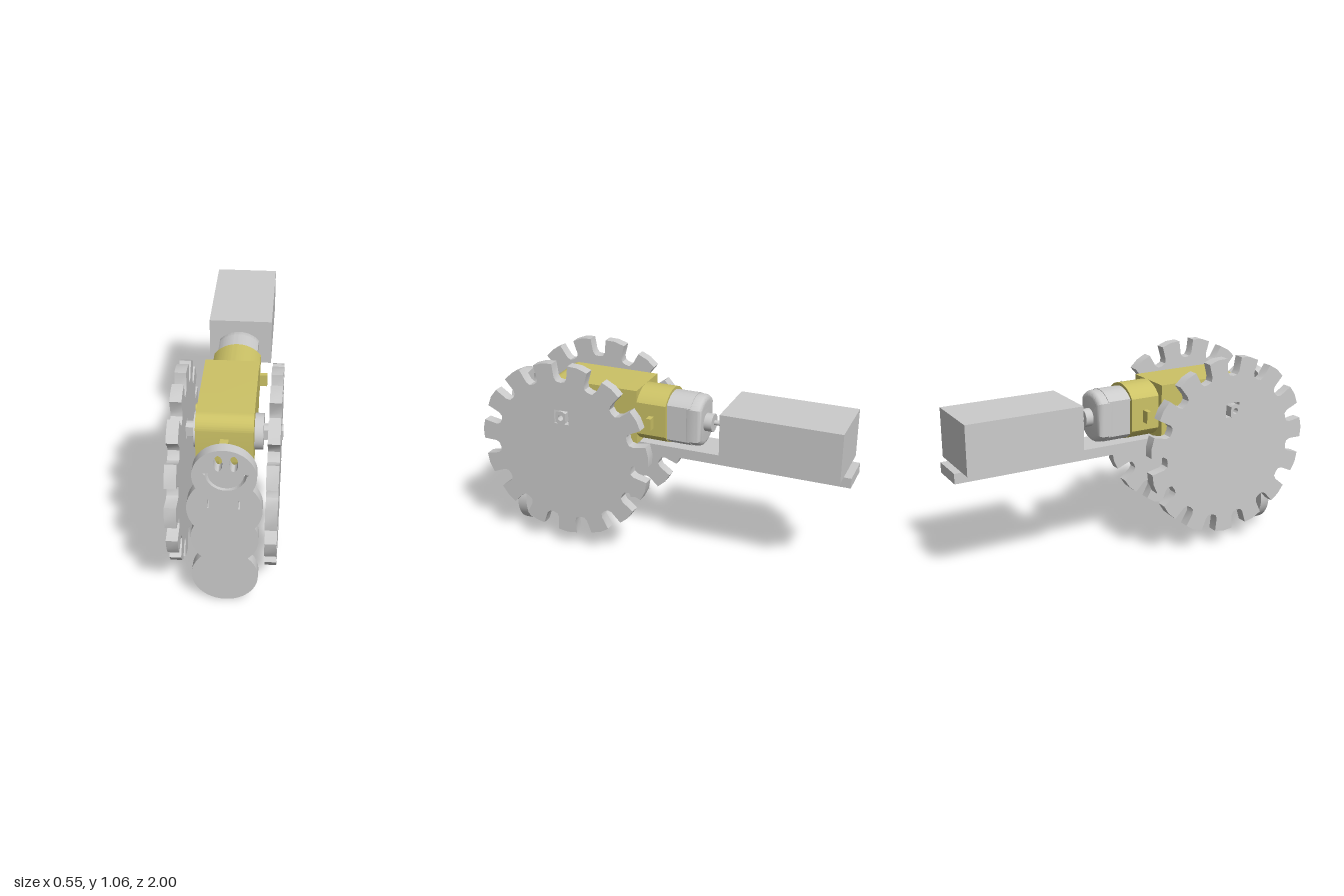
import * as THREE from 'three';
import { toCreasedNormals } from 'three/addons/utils/BufferGeometryUtils.js';

const grey = new THREE.MeshStandardMaterial({ color: 0xcccccc });
const yellow = new THREE.MeshStandardMaterial({ color: 0xccc266 });
const AXLE_Z = 0.512, AXLE_Y = 0.773, MID_X = 0.014;

export function createModel() {
  const model = new THREE.Group();

  const add = (name, geometry, material = grey) => {
    const mesh = new THREE.Mesh(geometry, material);
    mesh.name = name;
    model.add(mesh);
    return mesh;
  };

  // Box given by its limits on each axis
  const box = (name, [x0, x1], [y0, y1], [z0, z1], material) =>
    add(name, new THREE.BoxGeometry(x1 - x0, y1 - y0, z1 - z0), material)
      .position.set((x0 + x1) / 2, (y0 + y1) / 2, (z0 + z1) / 2);

  // Shape in the xy plane extruded from z0 to z1
  const extrudeZ = (name, shape, z0, z1, material, options = {}) => {
    const geo = new THREE.ExtrudeGeometry(shape, { depth: z1 - z0, bevelEnabled: false, curveSegments: 24, ...options });
    geo.translate(0, 0, z0);
    return add(name, toCreasedNormals(geo, 0.5), material);
  };

  // Shape drawn as (-z, y) extruded from x0 to x1
  const extrudeX = (name, shape, x0, x1, material) => {
    const geo = new THREE.ExtrudeGeometry(shape, { depth: x1 - x0, bevelEnabled: false, curveSegments: 16 });
    geo.rotateY(Math.PI / 2).translate(x0, 0, 0);
    return add(name, toCreasedNormals(geo, 0.5), material);
  };

  const cylinder = (name, axis, r, a, b, [u, v], material) => {
    const geo = new THREE.CylinderGeometry(r, r, b - a, 40);
    const mid = (a + b) / 2;
    if (axis === 'x') geo.rotateZ(Math.PI / 2).translate(mid, v, u);
    else geo.rotateX(Math.PI / 2).translate(u, v, mid);
    return add(name, geo, material);
  };

  // Circle with its two sides cut flat
  const flatSided = (r, half, cx, cy) => {
    const shape = new THREE.Shape();
    const a = Math.acos(half / r);
    shape.absarc(cx, cy, r, a, Math.PI - a, false);
    shape.absarc(cx, cy, r, Math.PI + a, 2 * Math.PI - a, false);
    shape.closePath();
    return shape;
  };

  const rectPath = (x0, x1, y0, y1) => new THREE.Path(
    [[x0, y0], [x1, y0], [x1, y1], [x0, y1]].map(([x, y]) => new THREE.Vector2(x, y)));

  // Toothed wheels, mounted off centre on the axle
  const wheel = (name, x0, x1, u, y, turn) => {
    const teeth = 15, pitch = 2 * Math.PI / teeth;
    const profile = [[0.395, -0.15], [0.415, -0.122], [0.488, -0.115], [0.493, 0],
      [0.488, 0.115], [0.415, 0.122], [0.395, 0.15], [0.39, pitch / 2]];
    const points = [];
    for (let i = 0; i < teeth; i++) {
      for (const [r, offset] of profile) {
        const a = -Math.PI / 2 + turn + i * pitch + offset;
        points.push(new THREE.Vector2(u + r * Math.cos(a), y + r * Math.sin(a)));
      }
    }
    const shape = new THREE.Shape(points);
    shape.holes.push(rectPath(-AXLE_Z - 0.042, -AXLE_Z + 0.042, 0.735, 0.812));
    extrudeX(name, shape, x0, x1);
  };
  wheel('leftWheel', 0.206, 0.262, -0.508, 0.578, 0);
  wheel('rightWheel', -0.25, -0.194, -0.496, 0.571, 0.035);

  // Axle ends with a bored centre, and round hubs against the gearbox
  const axle = flatSided(0.038, 0.028, -AXLE_Z, AXLE_Y);
  axle.holes.push(new THREE.Path().absarc(-AXLE_Z, AXLE_Y, 0.016, 0, Math.PI * 2, true));
  extrudeX('leftAxle', axle, 0.135, 0.271);
  extrudeX('rightAxle', axle, -0.275, -0.135);
  cylinder('leftHub', 'x', 0.088, 0.13, 0.178, [AXLE_Z, AXLE_Y]);
  cylinder('rightHub', 'x', 0.088, -0.155, -0.13, [AXLE_Z, AXLE_Y]);

  // Gearbox with rounded front edges
  const side = new THREE.Shape();
  const front = -0.667, back = -0.135, low = 0.635, high = 0.932, r = 0.07;
  side.moveTo(back, low);
  side.lineTo(back, high);
  side.lineTo(front + r, high);
  side.absarc(front + r, high - r, r, Math.PI / 2, Math.PI, false);
  side.absarc(front + r, low + r, r, Math.PI, Math.PI * 1.5, false);
  side.closePath();
  extrudeX('gearbox', side, -0.137, 0.136, yellow);
  box('gearboxTab', [-0.02, 0.02], [0.73, 0.83], [0.66, 0.742], yellow);
  cylinder('gearboxPeg', 'x', 0.027, -0.167, -0.13, [0.345, AXLE_Y], yellow);
  extrudeZ('gearboxNeck', flatSided(0.149, 0.121, 0.015, 0.783), -0.027, 0.14, yellow);
  box('neckClip', [-0.15, 0.175], [0.74, 0.805], [0.04, 0.066], yellow);

  // Motor, its rounded end cap, boss and shaft
  extrudeZ('motorBody', flatSided(0.14, 0.103, MID_X, 0.776), -0.155, -0.02);
  extrudeZ('motorCap', flatSided(0.137, 0.104, MID_X, 0.776), -0.18, -0.14, grey,
    { bevelEnabled: true, bevelThickness: 0.03, bevelSize: 0.03, bevelOffset: -0.03, bevelSegments: 5 });
  cylinder('motorBoss', 'z', 0.048, -0.252, -0.2, [0.02, 0.772]);
  cylinder('motorShaft', 'z', 0.013, -0.345, -0.24, [MID_X, 0.772]);

  // Battery box and the long base board
  box('batteryBox', [-0.16, 0.181], [0.635, 0.894], [-0.961, -0.336]);
  box('baseBoard', [-0.085, 0.107], [0.581, 0.635], [-1, 0.817]);

  // Front plate: four overlapping circles, traced up one side and down the other
  const circles = [[0.161, 0.161], [0.395, 0.161], [0.575, 0.177], [0.767, 0.149]];
  const outline = [];
  let start = -Math.PI / 2;
  circles.forEach(([y, radius], i) => {
    let end = Math.PI / 2, next;
    if (i < circles.length - 1) {
      const [y2, r2] = circles[i + 1], d = y2 - y;
      const t = (d * d + radius * radius - r2 * r2) / (2 * d);
      end = Math.asin(t / radius);
      next = Math.asin((t - d) / r2);
    }
    for (let k = i ? 1 : 0; k <= 24; k++) {
      const a = start + (end - start) * k / 24;
      outline.push([radius * Math.cos(a), y + radius * Math.sin(a)]);
    }
    start = next;
  });
  const mirrored = outline.slice(1, -1).reverse().map(([x, y]) => [-x, y]);
  const plate = new THREE.Shape([...outline, ...mirrored].map(([x, y]) => new THREE.Vector2(x + MID_X, y)));

  // Eyes, smile and narrow slots cut through the plate
  for (const x of [-0.013, 0.058]) {
    plate.holes.push(new THREE.Path().absellipse(x, 0.842, 0.02, 0.043, 0, Math.PI * 2, true));
  }
  const smile = new THREE.Path();
  smile.moveTo(-0.083, 0.783);
  smile.lineTo(-0.073, 0.772);
  smile.absarc(0.022, 0.785, 0.095, Math.PI + 0.16, Math.PI * 2 - 0.16, false);
  smile.lineTo(0.127, 0.783);
  smile.lineTo(0.103, 0.787);
  smile.absarc(0.022, 0.787, 0.083, -0.17, Math.PI + 0.17, true);
  smile.lineTo(-0.059, 0.787);
  smile.closePath();
  plate.holes.push(smile, rectPath(-0.065, -0.058, 0.583, 0.633), rectPath(0.078, 0.087, 0.583, 0.633));
  extrudeZ('frontPlate', plate, 0.816, 0.87);

  return model;
}
